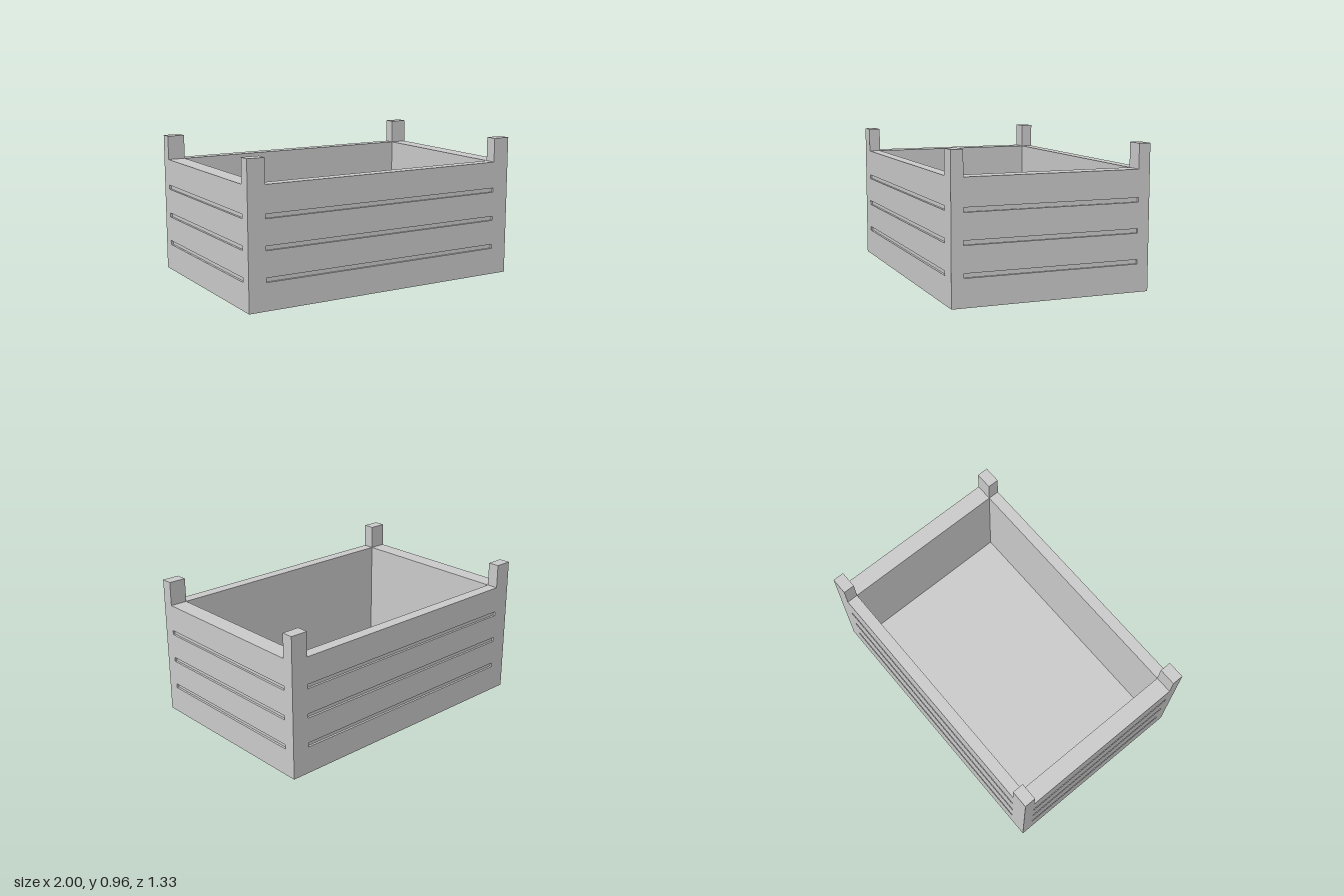
import * as THREE from 'three';

const HALF_X = 1, HALF_Z = 0.667;          // outer half sizes
const POST_X = 0.12, POST_Z = 0.079;       // post section, also the wall thicknesses
const WALL_TOP = 0.793, POST_TOP = 0.957, FLOOR_TOP = 0.09;
const INNER_X = HALF_X - POST_X, INNER_Z = HALF_Z - POST_Z;
const GROOVE_LEVELS = [0.198, 0.398, 0.597], GROOVE_HEIGHT = 0.029, GROOVE_DEPTH = 0.015;
const BOTTOM = 3, FRONT = 4;               // box faces that can be left open

const outside = new THREE.MeshStandardMaterial({ color: 0xcccccc, flatShading: true });
const inside = new THREE.MeshStandardMaterial({ color: 0xcccccc, flatShading: true, side: THREE.BackSide });

function add(parent, name, geometry, x, y, z, material = outside) {
  const mesh = new THREE.Mesh(geometry, material);
  mesh.name = name;
  mesh.position.set(x, y, z);
  parent.add(mesh);
}

// Box without one of its six faces
function openBox(width, height, depth, openFace) {
  const box = new THREE.BoxGeometry(width, height, depth);
  const index = Array.from(box.index.array);
  index.splice(openFace * 6, 6);
  box.setIndex(index);
  box.clearGroups();
  return box;
}

function rectangle(path, halfWidth, bottom, top) {
  path.moveTo(-halfWidth, bottom);
  path.lineTo(halfWidth, bottom);
  path.lineTo(halfWidth, top);
  path.lineTo(-halfWidth, top);
  path.closePath();
  return path;
}

// One wall facing +z: slotted outer face, recessed grooves, rim and inner face
function createWall(name, halfLength, innerHalf, distance, thickness) {
  const wall = new THREE.Group();
  wall.name = name;

  const face = rectangle(new THREE.Shape(), halfLength, 0, WALL_TOP);
  const recess = openBox(2 * innerHalf, GROOVE_HEIGHT, GROOVE_DEPTH, FRONT);
  for (const y of GROOVE_LEVELS) {
    face.holes.push(rectangle(new THREE.Path(), innerHalf, y - GROOVE_HEIGHT / 2, y + GROOVE_HEIGHT / 2));
    add(wall, 'groove', recess, 0, y, distance - GROOVE_DEPTH / 2, inside);
  }
  add(wall, 'outerFace', new THREE.ShapeGeometry(face), 0, 0, distance);

  const rim = new THREE.PlaneGeometry(2 * innerHalf, thickness).rotateX(-Math.PI / 2);
  add(wall, 'rim', rim, 0, WALL_TOP, distance - thickness / 2);

  const lining = new THREE.PlaneGeometry(2 * innerHalf, WALL_TOP - FLOOR_TOP).rotateY(Math.PI);
  add(wall, 'innerFace', lining, 0, (WALL_TOP + FLOOR_TOP) / 2, distance - thickness);
  return wall;
}

export function createModel() {
  const model = new THREE.Group();
  model.name = 'stackingCrate';

  // Long walls at front and back, short walls at the sides
  ['frontWall', 'leftWall', 'backWall', 'rightWall'].forEach((name, i) => {
    const wall = i % 2 === 0
      ? createWall(name, HALF_X, INNER_X, HALF_Z, POST_Z)
      : createWall(name, HALF_Z, INNER_Z, HALF_X, POST_X);
    wall.rotation.y = i * Math.PI / 2;
    model.add(wall);
  });

  // Corner posts standing up above the rim
  const post = openBox(POST_X, POST_TOP - WALL_TOP, POST_Z, BOTTOM);
  for (const [zName, sz] of [['front', 1], ['back', -1]]) {
    for (const [xName, sx] of [['Left', 1], ['Right', -1]]) {
      add(model, `${zName}${xName}Post`, post,
        sx * (HALF_X - POST_X / 2), (POST_TOP + WALL_TOP) / 2, sz * (HALF_Z - POST_Z / 2));
    }
  }

  // Floor inside and underside
  add(model, 'floor', new THREE.PlaneGeometry(2 * INNER_X, 2 * INNER_Z).rotateX(-Math.PI / 2), 0, FLOOR_TOP, 0);
  add(model, 'underside', new THREE.PlaneGeometry(2 * HALF_X, 2 * HALF_Z).rotateX(Math.PI / 2), 0, 0, 0);

  return model;
}
